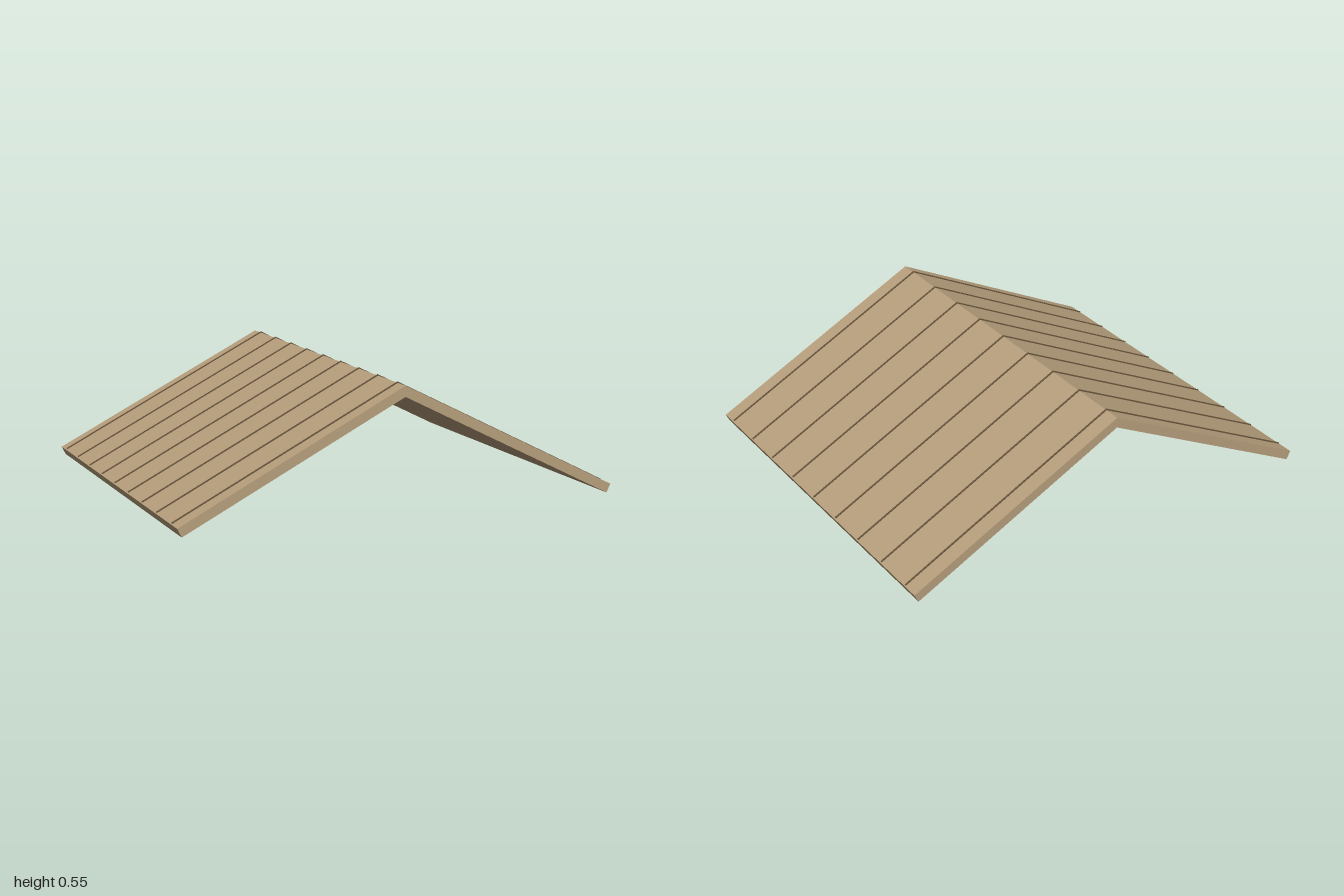
import * as THREE from 'three';

const DEPTH = 1.715;                         // length along the ridge
const RIDGE = new THREE.Vector2(0, 0.544);
const EAVE = new THREE.Vector2(1, 0.038);
const THICK = 0.042;

const boardMat = new THREE.MeshStandardMaterial({ color: 0xb89f7c });
const seamMat = new THREE.MeshStandardMaterial({ color: 0x6b5840 });

// Extrude an x/y outline along z, centred on z
function prism(points, depth, z, material, name) {
  const geo = new THREE.ExtrudeGeometry(new THREE.Shape(points), { depth, bevelEnabled: false });
  geo.translate(0, 0, z - depth / 2);
  const mesh = new THREE.Mesh(geo, material);
  mesh.name = name;
  return mesh;
}

export function createModel() {
  const group = new THREE.Group();
  group.name = 'gableRoof';

  const along = EAVE.clone().sub(RIDGE).normalize();
  const normal = new THREE.Vector2(-along.y, along.x);
  const at = (p, s, n) => p.clone().addScaledVector(along, s).addScaledVector(normal, n);

  for (const side of [1, -1]) {
    const slope = new THREE.Group();
    slope.name = side > 0 ? 'leftSlope' : 'rightSlope';
    const mirror = (pts) => pts.map((p) => new THREE.Vector2(p.x * side, p.y));

    // Slab: square-cut at the eave, mitred at the ridge
    const inner = new THREE.Vector2(0, RIDGE.y - THICK / normal.y);
    slope.add(prism(mirror([RIDGE, inner, at(EAVE, 0, -THICK), EAVE]), DEPTH, 0, boardMat, 'roofSlab'));

    // Thin raised seams between the boards
    const h = 0.005;
    const seam = [RIDGE, at(EAVE, -0.006, 0), at(EAVE, -0.006, h), new THREE.Vector2(0, RIDGE.y + h / normal.y)];
    for (let i = -4; i <= 4; i++) {
      slope.add(prism(mirror(seam), 0.006, i * 0.195, seamMat, 'boardSeam'));
    }
    group.add(slope);
  }
  return group;
}
